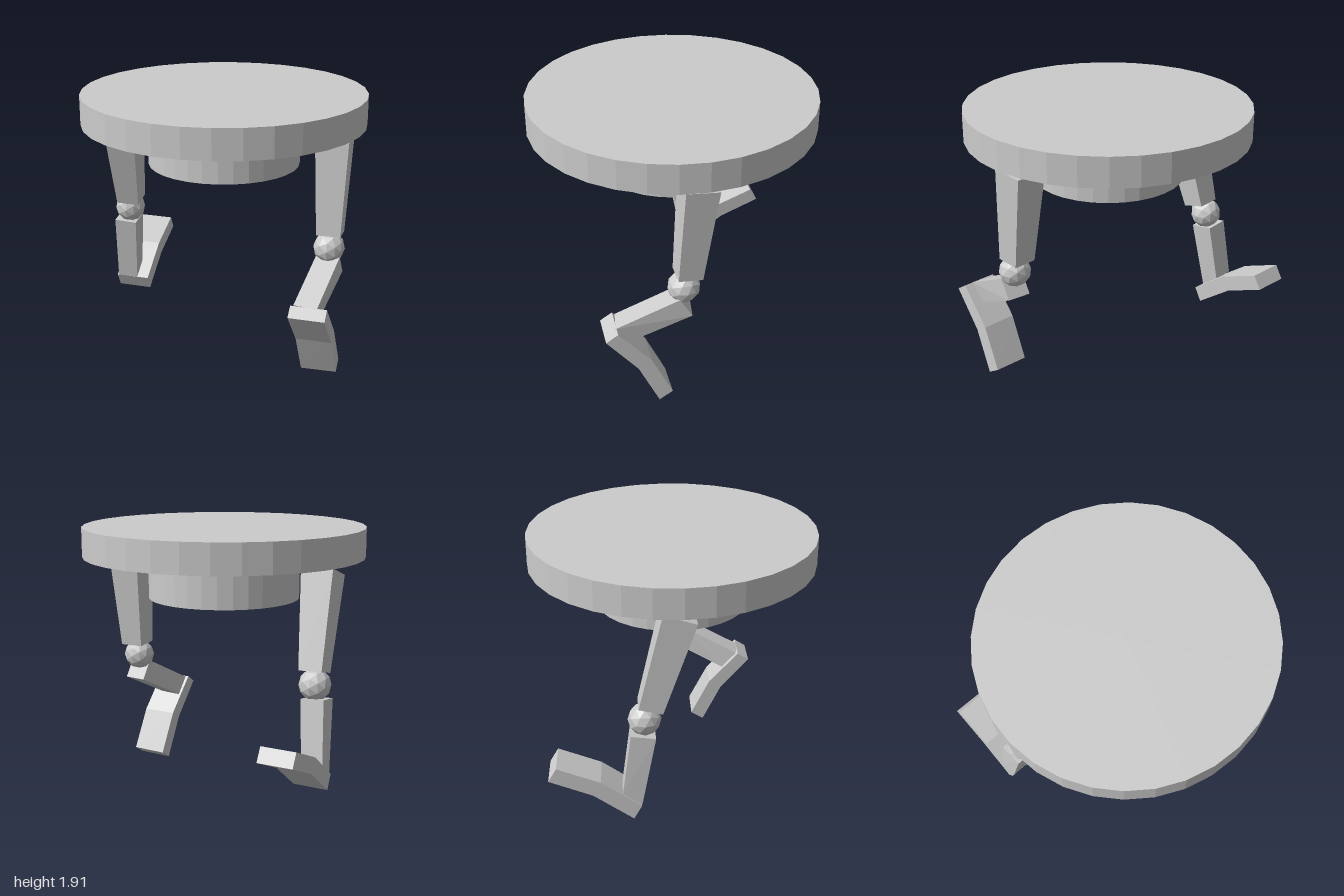
import * as THREE from 'three';

const grey = new THREE.MeshStandardMaterial({ color: 0xcccccc, flatShading: true });

function addMesh(parent, name, geometry, x = 0, y = 0, z = 0) {
  const mesh = new THREE.Mesh(geometry, grey);
  mesh.name = name;
  mesh.position.set(x, y, z);
  parent.add(mesh);
  return mesh;
}

// Four-sided block through cross-sections: centre plus half-vectors u (across) and v (thickness).
function block(sections) {
  const vec = (a) => new THREE.Vector3(...a);
  const first = sections[0];
  const along = vec(sections[1].c).sub(vec(first.c));
  const flip = vec(first.u).cross(vec(first.v)).dot(along) < 0 ? -1 : 1;
  const rings = sections.map(({ c, u, v }) =>
    [[1, 1], [-1, 1], [-1, -1], [1, -1]].map(([s, t]) =>
      vec(c).addScaledVector(vec(u), s).addScaledVector(vec(v), t * flip)));
  const points = [];
  const quad = (a, b, c, d) => points.push(a, b, c, a, c, d);
  for (let i = 0; i < rings.length - 1; i++) {
    for (let j = 0; j < 4; j++) {
      const k = (j + 1) % 4;
      quad(rings[i][j], rings[i][k], rings[i + 1][k], rings[i + 1][j]);
    }
  }
  quad(...[...rings[0]].reverse());
  quad(...rings[rings.length - 1]);
  const geometry = new THREE.BufferGeometry().setFromPoints(points);
  geometry.computeVertexNormals();
  return geometry;
}

function addLeg(parent, name, { thigh, knee, shin, foot }) {
  const leg = new THREE.Group();
  leg.name = name;
  addMesh(leg, 'thigh', block(thigh));
  addMesh(leg, 'knee', new THREE.IcosahedronGeometry(0.112, 1), ...knee);
  addMesh(leg, 'shin', block(shin));
  addMesh(leg, 'foot', block(foot));
  parent.add(leg);
}

export function createModel() {
  const model = new THREE.Group();
  model.name = 'walkingTable';

  // Round top and the narrower hub below it
  addMesh(model, 'tableTop', new THREE.CylinderGeometry(1, 1, 0.21, 32), 0, 1.805, 0);
  addMesh(model, 'hub', new THREE.CylinderGeometry(0.537, 0.537, 0.3, 32), 0, 1.55, 0);

  // Left leg, stepping forward with the toes pointing down
  addLeg(model, 'leftLeg', {
    thigh: [
      { c: [0.793, 1.643, 0.021], u: [0.117, 0, 0], v: [0, 0.009, 0.113] },
      { c: [0.795, 0.966, 0.088], u: [0.085, 0, 0], v: [0, 0.006, 0.083] },
    ],
    knee: [0.795, 0.872, 0.115],
    shin: [
      { c: [0.803, 0.755, 0.107], u: [0.083, 0, 0.013], v: [-0.005, 0.068, 0.042] },
      { c: [0.725, 0.545, 0.52], u: [0.083, 0, 0.013], v: [0, 0.06, 0.055] },
    ],
    foot: [
      { c: [0.75, 0.58, 0.622], u: [0.126, 0, 0.003], v: [0, 0.027, -0.042] },
      { c: [0.766, 0.328, 0.402], u: [0.126, 0, 0.003], v: [0, 0.027, -0.047] },
      { c: [0.783, 0.036, 0.262], u: [0.126, 0.003, 0.003], v: [0, 0.029, -0.047] },
    ],
  });

  // Right leg, trailing with the foot kicked up behind
  addLeg(model, 'rightLeg', {
    thigh: [
      { c: [-0.763, 1.638, -0.015], u: [0.116, -0.004, 0], v: [0, -0.035, 0.11] },
      { c: [-0.793, 0.982, -0.206], u: [0.084, -0.003, 0], v: [0, -0.02, 0.08] },
    ],
    knee: [-0.815, 0.903, -0.245],
    shin: [
      { c: [-0.835, 0.813, -0.258], u: [0.083, -0.005, 0], v: [0, -0.012, 0.083] },
      { c: [-0.866, 0.352, -0.337], u: [0.077, -0.004, 0], v: [0, -0.048, 0.064] },
    ],
    foot: [
      { c: [-0.828, 0.255, -0.298], u: [0.127, 0, 0.005], v: [0, 0.05, 0.027] },
      { c: [-0.822, 0.452, -0.568], u: [0.127, 0, 0.005], v: [0, 0.05, 0.027] },
      { c: [-0.815, 0.572, -0.86], u: [0.127, 0, 0.005], v: [0, 0.048, 0.028] },
    ],
  });

  return model;
}
